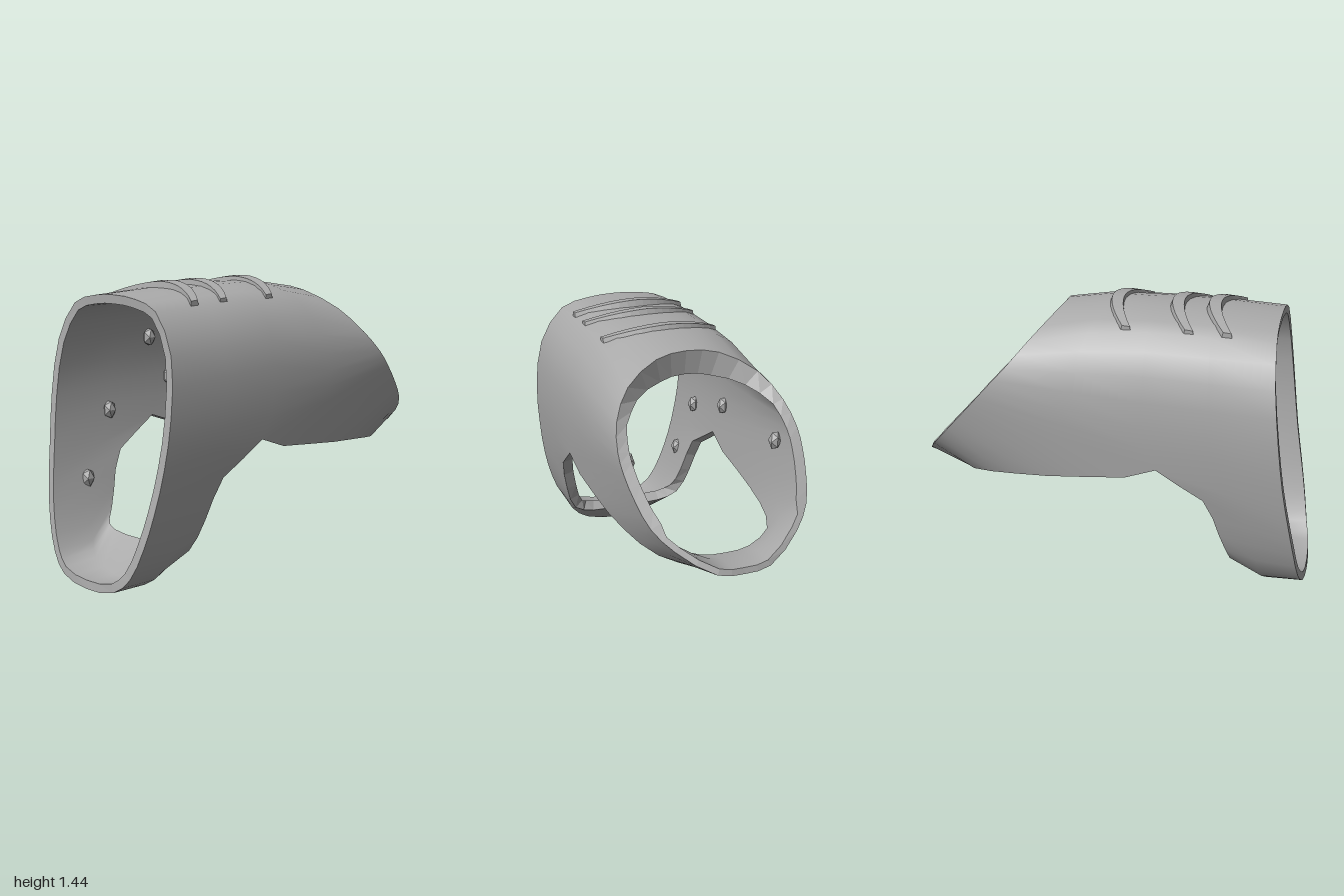
import * as THREE from 'three';

const grey = new THREE.MeshStandardMaterial({ color: 0xaaaaaa });
grey.name = 'plain grey';
grey.side = THREE.DoubleSide;

const SUB = 2;          // samples between control points
const N = 20 * SUB;     // samples around a full loop
const SPLIT = 5 * SUB;  // where the shell divides into front and rear bands

// Half loops run from bottom centre, up the side, to top centre: [x, y, z]
const frontRim = [[0, .025, 1], [.19, .05, .99], [.29, .13, .97], [.36, .28, .945], [.405, .45, .915], [.435, .65, .88],
  [.45, .88, .85], [.42, 1.15, .82], [.3, 1.335, .805], [.15, 1.38, .8], [0, 1.39, .8]];
const frontMiddle = [[0, .005, .82], [.19, .045, .8], [.29, .13, .77], [.365, .31, .75], [.41, .5, .7], [.435, .69, .58],
  [.45, .9, .52], [.425, 1.16, .51], [.31, 1.345, .5], [.16, 1.395, .5], [0, 1.405, .5]];
const frontSplit = [[0, .16, .64], [.2, .16, .64], [.31, .2, .63], [.37, .35, .58], [.41, .55, .5], [.435, .7, .27],
  [.45, .92, .2], [.425, 1.17, .2], [.31, 1.35, .2], [.16, 1.4, .2], [0, 1.415, .2]];
const rearSplit = [[0, .5, -.8], [.14, .51, -.79], [.3, .55, -.7], [.385, .585, -.45], [.42, .62, -.1],
  ...frontSplit.slice(5)];
const rearRim = [[0, .55, -1], [.13, .565, -.995], [.3, .67, -.91], [.385, .76, -.83], [.425, .86, -.74], [.447, .96, -.65],
  [.45, 1.04, -.58], [.42, 1.15, -.48], [.33, 1.27, -.38], [.16, 1.36, -.3], [0, 1.38, -.28]];
const rearMiddle = rearSplit.map((p, k) =>
  p.map((v, c) => (v + rearRim[k][c]) / 2 + (c === 1 && k > 7 ? .02 : 0)));

// Mirror a half loop and sample it as a closed smooth curve
function sampleLoop(half) {
  const other = half.slice(1, -1).reverse().map(([x, y, z]) => [-x, y, z]);
  const curve = new THREE.CatmullRomCurve3([...half, ...other].map(p => new THREE.Vector3(...p)), true);
  return Array.from({ length: N }, (_, i) => curve.getPoint(i / N));
}

function makeGeometry(points, index) {
  const g = new THREE.BufferGeometry().setFromPoints(points);
  g.setIndex(index);
  g.computeVertexNormals();
  return g;
}

// Raised curved ridge lying across the top
function ridgeGeometry(zc) {
  const pts = [], idx = [], steps = 14;
  for (let s = 0; s <= steps; s++) {
    const u = s / steps * 2 - 1, x = u * .3;
    const y = 1.41 - .7 * x * x, z = zc + .1 * u * u;
    const w = .045 - .015 * u * u, h = .03 - .006 * Math.abs(u);
    pts.push([x, y - .03, z + w], [x, y + h * .85, z + w * .8], [x, y + h, z - w * .5], [x, y - .03, z - w])
  }
  for (let s = 0; s < steps; s++) for (let k = 0; k < 4; k++) {
    const a = s * 4 + k, b = s * 4 + (k + 1) % 4;
    idx.push(a, a + 4, b, b, a + 4, b + 4);
  }
  const e = steps * 4;
  idx.push(0, 1, 2, 0, 2, 3, e, e + 2, e + 1, e, e + 3, e + 2);
  const g = makeGeometry(pts.map(p => new THREE.Vector3(...p)), idx).toNonIndexed();
  g.computeVertexNormals();
  return g;
}

export function createModel() {
  const group = new THREE.Group();
  const add = (name, geometry) => {
    const mesh = new THREE.Mesh(geometry, grey);
    mesh.name = name;
    group.add(mesh);
    return mesh;
  };

  // Outer shell: front and rear sheets share the split line over the top
  const loops = [frontRim, frontMiddle, frontSplit, rearSplit, rearMiddle, rearRim].map(sampleLoop);
  const outer = loops.flat();
  const shared = i => i >= SPLIT && i <= N - SPLIT;
  const id = (j, i) => {
    i = (i + N) % N;
    return (j === 3 && shared(i) ? 2 : j) * N + i;
  };
  const outerIndex = [];
  for (const j of [0, 1, 3, 4]) for (let i = 0; i < N; i++) {
    const a = id(j, i), b = id(j, i + 1), c = id(j + 1, i), d = id(j + 1, i + 1);
    outerIndex.push(a, c, b, b, c, d);
  }
  const shell = makeGeometry(outer, outerIndex);
  add('outerShell', shell);

  // Inner lining: outer surface moved inward, thicker at the top rear
  const normals = shell.attributes.normal;
  const inner = outer.map((p, n) => {
    const j = Math.floor(n / N), k = 10 - Math.abs((n % N) / SUB - 10);
    let t = j === 0 ? .042 : .055;
    if (j === 5 && k < 3) t = .03;
    if (j >= 4 && k > 7) t += (j - 3) * .035 * Math.min(1, (k - 7) / 2);
    return p.clone().addScaledVector(new THREE.Vector3().fromBufferAttribute(normals, n), -t);
  });
  add('innerLining', makeGeometry(inner, outerIndex.slice().reverse()));

  // Edge strips around the three openings
  const strip = (name, ids) => {
    const idx = [], M = ids.length;
    const pts = [...ids.map(n => outer[n]), ...ids.map(n => inner[n])];
    for (let i = 0; i < M; i++) {
      const b = (i + 1) % M;
      idx.push(i, b, i + M, b, b + M, i + M);
    }
    const g = makeGeometry(pts, idx).toNonIndexed();
    g.computeVertexNormals();
    add(name, g);
  };
  const around = Array.from({ length: N }, (_, i) => i);
  strip('frontRim', around.map(i => id(0, i)));
  strip('rearRim', around.map(i => id(5, i)).reverse());
  const hole = [];
  for (let i = -SPLIT; i <= SPLIT; i++) hole.push(id(2, i));
  for (let i = SPLIT - 1; i > -SPLIT; i--) hole.push(id(3, i));
  strip('lowerOpeningRim', hole.reverse());

  // Ridges across the top
  for (const z of [-.01, .29, .47]) add('topRidge', ridgeGeometry(z));

  // Small faceted studs on the inside walls
  const stud = new THREE.IcosahedronGeometry(.045, 0);
  for (const side of [-1, 1])
    for (const [x, y, z] of [[.375, .95, -.5], [.36, 1.12, .3], [.385, .9, .15], [.38, .77, .55], [.345, .45, .72]]) {
      const m = add('innerStud', stud);
      m.position.set(side * x, y, z);
      m.scale.set(.7, 1.1, .8);
    }
  return group;
}
